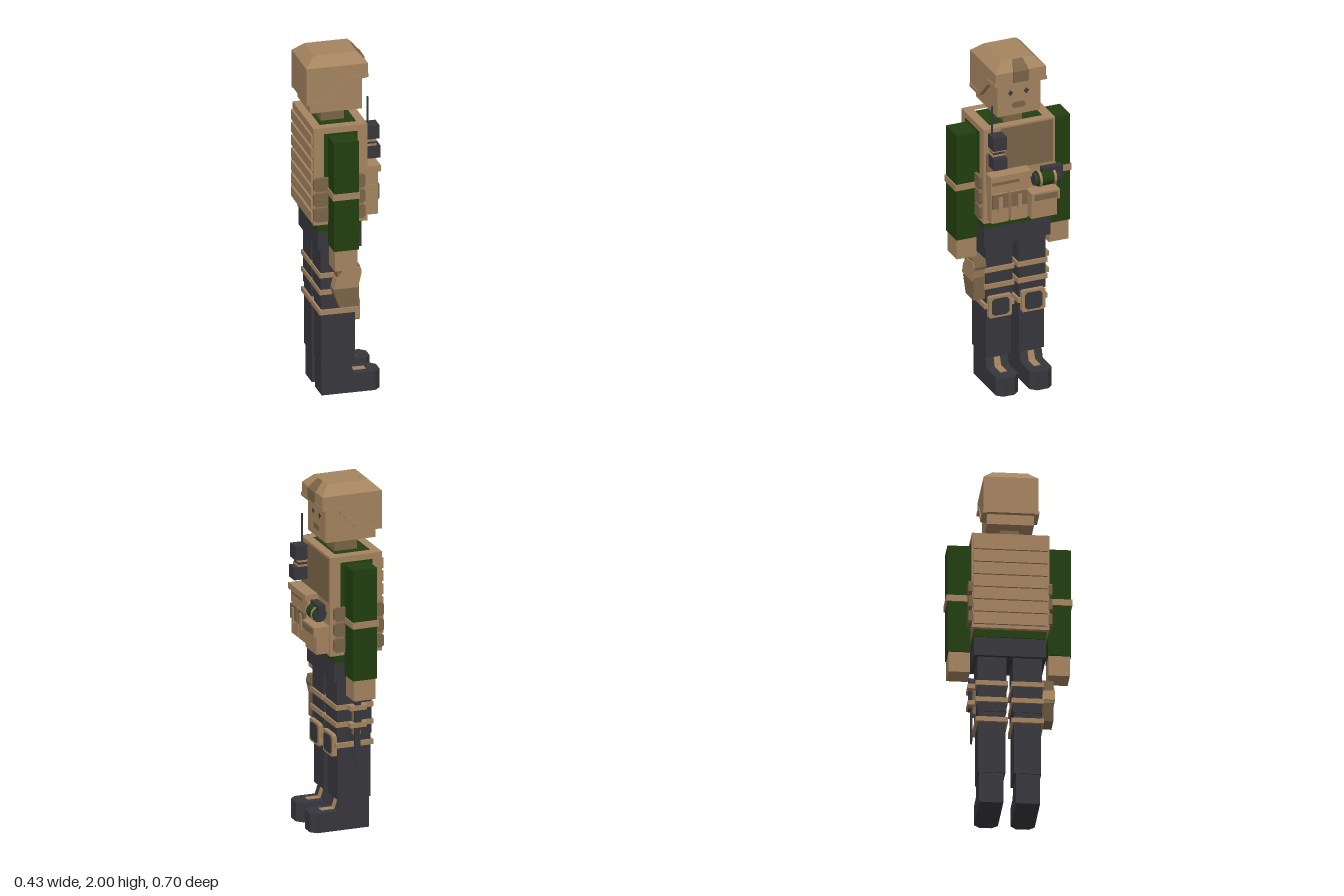
import * as THREE from 'three';

const mat = (name, color) => Object.assign(new THREE.MeshStandardMaterial({ color }), { name });

export function createModel() {
  const tan = mat('tan', 0xa58460), dark = mat('dark tan', 0x7a6548);
  const green = mat('green', 0x223f10), black = mat('charcoal', 0x38373d);
  const root = new THREE.Group();
  root.name = 'soldier';

  const add = (name, geo, m) => {
    const mesh = new THREE.Mesh(geo, m);
    mesh.name = name;
    root.add(mesh);
    return mesh;
  };
  // Box from its limits; z limits may come in either order
  const boxGeo = (x0, x1, y0, y1, z0, z1) =>
    new THREE.BoxGeometry(x1 - x0, y1 - y0, Math.abs(z1 - z0)).translate((x0 + x1) / 2, (y0 + y1) / 2, (z0 + z1) / 2);
  const box = (name, m, ...b) => add(name, boxGeo(...b), m);
  // Box whose top face is moved to other x limits and z half width
  const taper = (name, m, x0, x1, y0, y1, w, tx0, tx1, tw, zc = 0) => {
    const g = new THREE.BoxGeometry(1, 1, 1), p = g.attributes.position;
    for (let i = 0; i < p.count; i++) {
      const top = p.getY(i) > 0, far = p.getX(i) > 0, s = Math.sign(p.getZ(i));
      p.setXYZ(i, top ? (far ? tx1 : tx0) : (far ? x1 : x0), top ? y1 : y0, zc + s * (top ? tw : w));
    }
    g.computeVertexNormals();
    return add(name, g, m);
  };
  const shape = pts => new THREE.Shape(pts.map(([a, b]) => new THREE.Vector2(a, b)));
  const extrude = (s, depth) => new THREE.ExtrudeGeometry(s, { depth, bevelEnabled: false });
  // Side outline (x, y) given thickness in z
  const slabZ = (name, m, pts, za, zb) =>
    add(name, extrude(shape(pts), Math.abs(zb - za)).translate(0, 0, Math.min(za, zb)), m);
  // Front outline (z, y) given thickness in x
  const slabX = (name, m, pts, x0, x1) =>
    add(name, extrude(shape(pts.map(([z, y]) => [-z, y])), x1 - x0).rotateY(Math.PI / 2).translate(x0, 0, 0), m);
  // Plan outline (x, z) given height in y
  const slabY = (name, m, pts, y0, y1, hole) => {
    const s = shape(pts.map(([x, z]) => [x, -z]));
    if (hole) s.holes.push(shape(hole.map(([x, z]) => [x, -z])));
    return add(name, extrude(s, y1 - y0).rotateX(-Math.PI / 2).translate(0, y0, 0), m);
  };
  const rect = (x0, x1, w) => [[x0, -w], [x1, -w], [x1, w], [x0, w]];

  // Head and face
  box('head', tan, -0.19, 0.108, 1.67, 1.92, -0.13, 0.13);
  box('neck', dark, -0.11, 0.025, 1.57, 1.68, -0.055, 0.055);
  for (const z of [-0.045, 0.05]) {
    box('eye', black, 0.105, 0.112, 1.79, 1.82, z - 0.005, z + 0.005);
    box('eyeCorner', black, 0.105, 0.111, 1.8, 1.81, z - 0.014, z + 0.014);
  }
  slabX('mouth', dark, [[-0.028, 1.71], [0.03, 1.71], [0.04, 1.72], [0.04, 1.735], [0.03, 1.745], [-0.028, 1.745], [-0.038, 1.735], [-0.038, 1.72]], 0.105, 0.111);

  // Helmet
  taper('helmetCrown', tan, -0.218, 0.135, 1.945, 2, 0.152, -0.16, 0.085, 0.097);
  box('helmetBand', tan, -0.218, 0.135, 1.88, 1.945, -0.152, 0.152);
  box('helmetBack', tan, -0.218, -0.19, 1.73, 1.89, -0.152, 0.152);
  const flap = [[-0.218, 1.73], [-0.09, 1.73], [0.035, 1.86], [0.135, 1.87], [0.135, 1.9], [-0.218, 1.9]];
  const trim = [[-0.218, 1.725], [-0.085, 1.725], [0.04, 1.85], [0.138, 1.865], [0.138, 1.885], [0.03, 1.875], [-0.1, 1.745], [-0.218, 1.745]];
  for (const s of [-1, 1]) {
    slabZ('helmetSide', tan, flap, s * 0.13, s * 0.152);
    slabZ('helmetRim', tan, trim, s * 0.13, s * 0.157);
  }
  box('helmetBrow', tan, 0.105, 0.138, 1.865, 1.885, -0.152, 0.152);
  box('helmetMountBase', dark, 0.12, 0.143, 1.88, 1.945, -0.047, 0.047);
  taper('helmetMount', dark, 0.1, 0.143, 1.945, 1.999, 0.047, 0.075, 0.092, 0.03);

  // Shirt and vest
  box('shirt', green, -0.17, 0.085, 0.99, 1.59, -0.2, 0.2);
  slabY('vest', tan, rect(-0.195, 0.115, 0.215), 1.035, 1.61, rect(-0.145, 0.065, 0.16));
  slabX('chestPanel', dark, [[-0.2, 1.345], [0.2, 1.345], [0.2, 1.46], [0.13, 1.52], [0.11, 1.6], [-0.2, 1.6]], 0.112, 0.119);
  for (let i = 0; i < 7; i++) {
    const y = 1.055 + i * 0.076;
    box('backWebbing', tan, -0.207, -0.19, y, y + 0.058, -0.205, 0.205);
  }
  for (const s of [-1, 1]) {
    box('armhole', green, -0.135, 0.055, 1.3, 1.575, s * 0.21, s * 0.219);
    for (let i = 0; i < 3; i++) {
      const y = 1.06 + i * 0.09;
      slabZ('sidePouch', dark, [[-0.185, y], [0.085, y], [0.097, y + 0.012], [0.097, y + 0.07], [0.085, y + 0.08],
        [-0.185, y + 0.08], [-0.197, y + 0.07], [-0.197, y + 0.012]], s * 0.21, s * 0.233);
    }
  }

  // Front pouches
  box('longPouch', tan, 0.115, 0.18, 1.24, 1.33, -0.035, 0.2);
  box('longPouchFlap', tan, 0.115, 0.195, 1.315, 1.35, -0.04, 0.205);
  box('longPouchPatch', dark, 0.175, 0.183, 1.29, 1.315, 0.03, 0.19);
  for (const z of [0.145, 0.03]) {
    box('magazinePouch', tan, 0.115, 0.18, 1.06, 1.235, z - 0.05, z + 0.05);
    box('magazineFlap', dark, 0.115, 0.19, 1.15, 1.235, z - 0.047, z + 0.047);
    box('magazineTab', tan, 0.15, 0.196, 1.13, 1.22, z - 0.012, z + 0.012);
  }
  box('utilityPouch', tan, 0.115, 0.19, 1.05, 1.16, -0.195, -0.04);
  box('utilityFlap', tan, 0.115, 0.207, 1.155, 1.21, -0.205, -0.035);
  box('utilityPatch', dark, 0.2, 0.21, 1.165, 1.2, -0.19, -0.05);

  // Grenade lying along z
  const drum = (name, m, r, z0, z1) =>
    add(name, new THREE.CylinderGeometry(r, r, z1 - z0, 12).rotateX(Math.PI / 2).translate(0.168, 1.28, (z0 + z1) / 2), m);
  drum('grenadeBody', green, 0.041, -0.195, -0.075);
  for (let i = 0; i < 4; i++) drum('grenadeRib', green, 0.044, -0.19 + i * 0.029, -0.168 + i * 0.029);
  drum('grenadeCap', black, 0.036, -0.205, -0.06);
  for (const z of [-0.178, -0.092]) drum('grenadeBand', tan, 0.048, z - 0.007, z + 0.007);
  box('grenadeFuse', black, 0.148, 0.19, 1.27, 1.345, -0.23, -0.2);
  box('grenadeLever', black, 0.148, 0.19, 1.325, 1.345, -0.225, -0.11);

  // Radio
  box('radioTop', black, 0.115, 0.19, 1.505, 1.585, 0.108, 0.188);
  box('radioCore', black, 0.115, 0.17, 1.45, 1.51, 0.115, 0.18);
  box('radioBottom', black, 0.115, 0.198, 1.39, 1.46, 0.108, 0.188);
  box('radioStrap', tan, 0.112, 0.175, 1.465, 1.475, 0.11, 0.187);
  box('radioStrap', tan, 0.112, 0.175, 1.49, 1.5, 0.11, 0.187);
  add('antenna', new THREE.CylinderGeometry(0.005, 0.007, 0.18, 6).translate(0.127, 1.665, 0.17), black);

  // Hips
  box('hips', black, -0.165, 0.085, 0.88, 0.99, -0.2, 0.2);

  for (const s of [-1, 1]) {
    // Arms
    box('arm', green, -0.113, 0.03, 0.92, 1.565, s * 0.215, s * 0.343);
    box('armBand', tan, -0.12, 0.035, 1.225, 1.262, s * 0.212, s * 0.35);
    box('hand', tan, -0.107, 0.022, 0.8, 0.92, s * 0.218, s * 0.337);

    // Legs with straps and knee pads
    box('thigh', black, -0.145, 0.06, 0.55, 0.88, s * 0.018, s * 0.18);
    box('shin', black, -0.14, 0.055, 0.18, 0.55, s * 0.024, s * 0.175);
    for (const y of [0.72, 0.62, 0.5])
      box('legStrap', tan, -0.153, 0.07, y - 0.014, y + 0.014, s * 0.01, s * 0.19);
    const pad = (w, y0, y1, c) => [[-w, y0 + c], [c - w, y0], [w - c, y0], [w, y0 + c], [w, y1 - c], [w - c, y1], [c - w, y1], [-w, y1 - c]]
      .map(([z, y]) => [z + s * 0.1, y]);
    slabX('kneePad', tan, pad(0.07, 0.43, 0.56, 0.008), 0.05, 0.083);
    slabX('kneeCap', black, pad(0.052, 0.444, 0.546, 0.015), 0.078, 0.087);

    // Boots with chamfered toes
    const z0 = s * 0.102, w = 0.067, c = 0.032;
    slabY('boot', black, [[-0.135, z0 - w], [0.205 - c, z0 - w], [0.205, z0 - w + c], [0.205, z0 + w - c], [0.205 - c, z0 + w], [-0.135, z0 + w]], 0, 0.112);
    taper('bootShaft', black, -0.135, 0.052, 0.112, 0.19, w, -0.135, 0.026, w, z0);
    taper('bootLaces', tan, 0.03, 0.056, 0.112, 0.165, 0.02, 0.03, 0.038, 0.018, z0);
    box('bootTongue', tan, 0.04, 0.13, 0.11, 0.116, z0 - 0.02, z0 + 0.02);
  }

  // Holster on the right thigh
  slabZ('holster', dark, [[-0.07, 0.785], [0.06, 0.79], [0.072, 0.75], [0.055, 0.7], [0.055, 0.545], [-0.055, 0.545], [-0.09, 0.64], [-0.07, 0.7]], 0.18, 0.25);
  slabZ('holsterCover', tan, [[-0.03, 0.77], [0.06, 0.785], [0.07, 0.75], [0.05, 0.66], [-0.09, 0.66], [-0.075, 0.72]], 0.19, 0.257);

  // Knife in a sheath on the left thigh
  box('sheath', dark, -0.075, -0.025, 0.56, 0.72, -0.2, -0.18);
  slabZ('knifeBlade', black, [[-0.05, 0.385], [-0.032, 0.42], [-0.035, 0.62], [-0.065, 0.62], [-0.068, 0.42]], -0.21, -0.2);
  slabZ('knifeHandle', black, [[-0.07, 0.59], [-0.03, 0.59], [-0.035, 0.76], [-0.05, 0.79], [-0.065, 0.76]], -0.222, -0.188);
  for (const y of [0.72, 0.62]) box('sheathStrap', tan, -0.1, 0, y - 0.014, y + 0.014, -0.228, -0.18);

  return root;
}
